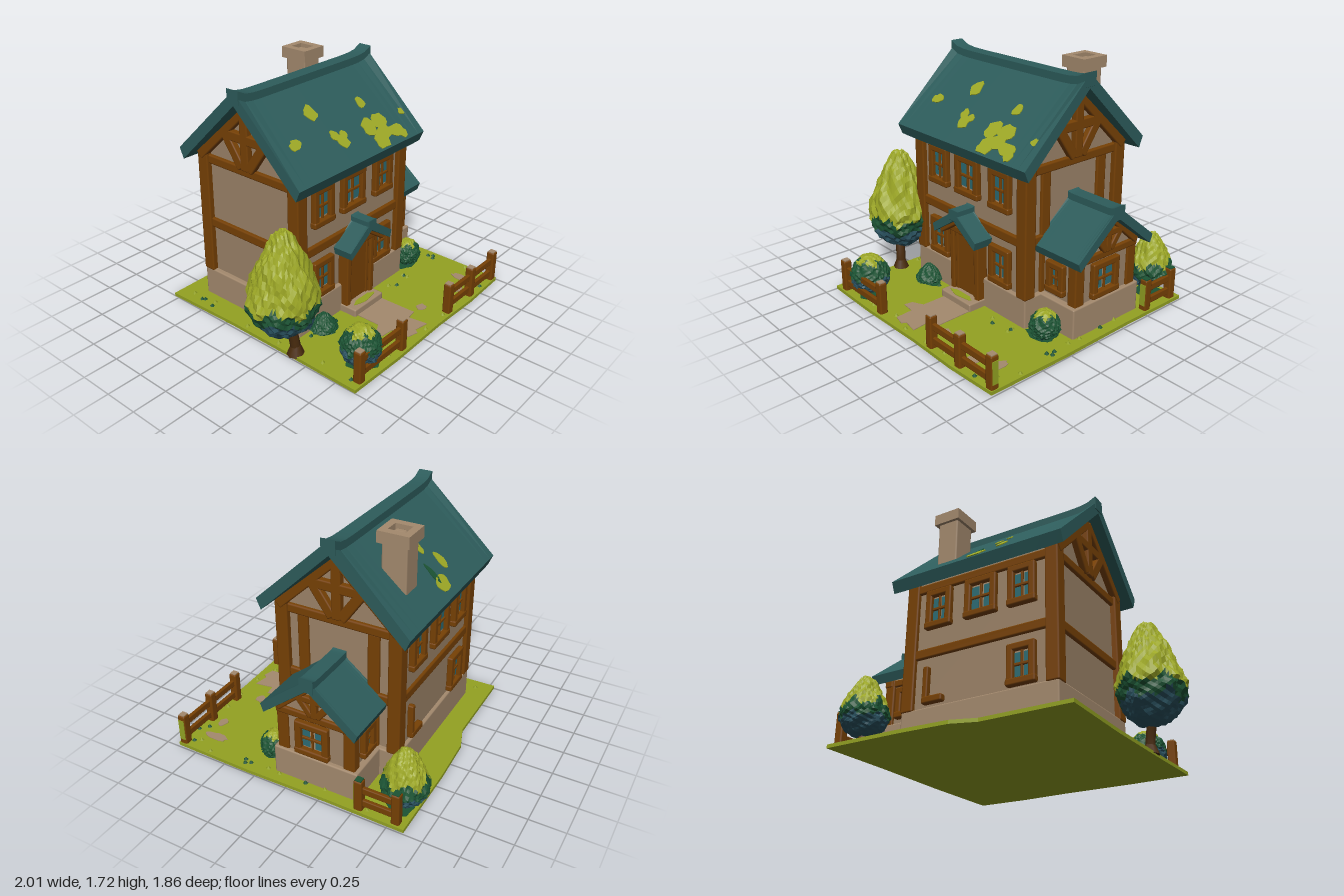
import * as THREE from 'three';
import { RoundedBoxGeometry } from 'three/addons/geometries/RoundedBoxGeometry.js';

const mat = (name, color) => Object.assign(new THREE.MeshStandardMaterial({ color }), { name });
const M = {
  grass: mat('grass', 0x93a222), lime: mat('lime leaf', 0x9da826), forest: mat('dark leaf', 0x1c5434),
  deep: mat('shaded leaf', 0x2a5260), roof: mat('roof teal', 0x2d5c5b), timber: mat('timber', 0x774104),
  plaster: mat('plaster', 0x9c8368), stone: mat('stone', 0xa48a6e), glass: mat('glass', 0x2c6c74), bark: mat('bark', 0x4a2c0e),
};
let seed = 7;
const rnd = () => (seed = (seed * 16807) % 2147483647) / 2147483647;

function add(parent, name, geo, material, x = 0, y = 0, z = 0) {
  const m = new THREE.Mesh(geo, material);
  m.name = name;
  m.position.set(x, y, z);
  parent.add(m);
  return m;
}
function group(parent, name, x = 0, y = 0, z = 0, ry = 0) {
  const g = new THREE.Group();
  g.name = name;
  g.position.set(x, y, z);
  g.rotation.y = ry;
  parent.add(g);
  return g;
}
// softened box given by its min and max on each axis
function block(parent, name, material, x0, x1, y0, y1, z0, z1) {
  const w = x1 - x0, h = y1 - y0, d = z1 - z0;
  const geo = new RoundedBoxGeometry(w, h, d, 1, Math.min(0.012, Math.min(w, h, d) / 4));
  return add(parent, name, geo, material, (x0 + x1) / 2, (y0 + y1) / 2, (z0 + z1) / 2);
}
// timber between two points in the local XY plane
function beam(parent, ax, ay, bx, by, width, depth = 0.05) {
  const geo = new RoundedBoxGeometry(Math.hypot(bx - ax, by - ay), width, depth, 1, 0.01);
  add(parent, 'gableTimber', geo, M.timber, (ax + bx) / 2, (ay + by) / 2, 0).rotation.z = Math.atan2(by - ay, bx - ax);
}
const polygon = pts => new THREE.Shape(pts.map(p => new THREE.Vector2(...p)));
const extrude = (shape, depth, steps = 1) => new THREE.ExtrudeGeometry(shape, { depth, steps, bevelEnabled: false, curveSegments: 6 });

// pitched roof along local z; only the ridge ends flick upward, the eaves stay straight
function roof(parent, half, eave, apex, thick, length, curl, cap) {
  const geo = extrude(polygon([[-half, eave], [-half * 0.94, eave - thick * 0.8], [0, apex - thick], [half * 0.94, eave - thick * 0.8], [half, eave], [0, apex]]), length, 20);
  geo.translate(0, 0, -length / 2);
  const ridge = new THREE.BoxGeometry(cap, cap * 0.95, length + 0.01, 1, 1, 20).translate(0, apex - cap * 0.38, 0);
  for (const [name, g] of [['roofSlopes', geo], ['ridgeCap', ridge]]) {
    const p = g.attributes.position;
    for (let i = 0; i < p.count; i++) {
      const rise = 1 - Math.abs(p.getX(i)) / half;
      p.setY(i, p.getY(i) + curl * rise * Math.pow(Math.abs(p.getZ(i) / length * 2), 12));
    }
    g.computeVertexNormals();
    add(parent, name, g, M.roof);
  }
}
// timber framing inside a gable triangle
function gable(parent, half, h, t) {
  beam(parent, -half, 0, 0, h, t);
  beam(parent, half, 0, 0, h, t);
  beam(parent, 0, 0, 0, h, t);
  beam(parent, -half * 0.5, h * 0.53, half * 0.5, h * 0.53, t);
  for (const s of [-1, 1]) beam(parent, s * half * 0.07, 0.01, s * half * 0.42, h * 0.55, t);
}
// framed window facing local +z; pale backing with four panes and timber bars
function windowUnit(parent, x, y, w, h) {
  const g = group(parent, 'window', x, y, 0), a = w / 2, b = h / 2, t = 0.048;
  block(g, 'windowFrame', M.timber, -a, -a + t, -b, b, 0, 0.045);
  block(g, 'windowFrame', M.timber, a - t, a, -b, b, 0, 0.045);
  block(g, 'windowFrame', M.timber, -a, a, b - t, b, 0, 0.045);
  block(g, 'windowSill', M.timber, -a - 0.004, a + 0.004, -b, -b + t, 0, 0.05);
  add(g, 'windowBacking', new THREE.BoxGeometry(w - t, h - t, 0.008), M.stone, 0, 0, 0.008);
  const pw = (a - t) * 0.74, ph = (b - t) * 0.76;
  for (const s of [-1, 1])
    for (const v of [-1, 1]) add(g, 'pane', new THREE.BoxGeometry(pw, ph, 0.004), M.glass, s * (a - t - pw / 2), v * (ph / 2 + 0.01), 0.014);
  block(g, 'windowBar', M.timber, -0.007, 0.007, -b + t, b - t, 0.008, 0.026);
  block(g, 'windowBar', M.timber, -a + t, a - t, -0.01, 0.01, 0.008, 0.028);
}
// uneven flat patch outline
function blob(rx, ry, n = 14) {
  return new THREE.Shape(Array.from({ length: n }, (_, i) => {
    const a = i / n * Math.PI * 2, k = 0.8 + rnd() * 0.35;
    return new THREE.Vector2(Math.cos(a) * rx * k, Math.sin(a) * ry * k);
  }));
}
// lumpy crown, coloured in bands by height
function crown(parent, name, x, z, r, yMid, yTop, yLow, taper, limeAt, forestAt) {
  const src = new THREE.IcosahedronGeometry(1, 10).attributes.position;
  const buckets = [[], [], []], v = new THREE.Vector3(), q = r * 45;
  for (let f = 0; f < src.count; f += 3) {
    const pts = [];
    let cy = 0, ang = 0;
    for (let k = 0; k < 3; k++) {
      v.fromBufferAttribute(src, f + k);
      const lump = 1 + 0.035 * Math.sin(v.x * 9 + v.y * 7 + q) + 0.03 * Math.sin(v.z * 11 - v.y * 8) + 0.03 * Math.sin(v.x * 19 + v.z * 17 + v.y * 23) + 0.02 * Math.sin(v.y * 31 - v.x * 13 + v.z * 9);
      const R = r * lump * (v.y > 0 ? 1 - taper * v.y : 1);
      pts.push(v.x * R, yMid + v.y * (v.y > 0 ? yTop - yMid : yMid - yLow) * (0.5 + lump / 2), v.z * R);
      cy += v.y / 3;
      ang = Math.atan2(v.z, v.x);
    }
    const edge = cy + 0.1 * Math.sin(ang * 5 + q) + 0.06 * Math.sin(ang * 11);
    buckets[edge > limeAt ? 0 : edge > forestAt ? 1 : 2].push(...pts);
  }
  const geo = new THREE.BufferGeometry();
  geo.setAttribute('position', new THREE.Float32BufferAttribute(buckets.flat(), 3));
  let start = 0;
  buckets.forEach((b, i) => { geo.addGroup(start, b.length / 3, i); start += b.length / 3; });
  geo.computeVertexNormals();
  add(parent, name, geo, [M.lime, M.forest, M.deep], x, 0, z);
}
function trunk(parent, x, z, r, y1, lean) {
  const path = new THREE.CatmullRomCurve3([[0, 0], [0.1, 0.3], [0.6, 0.7], [1, 1]].map(([l, t]) => new THREE.Vector3(x + lean * l, 0.02 + t * y1, z - Math.abs(lean) * l * 0.6)));
  add(parent, 'trunk', new THREE.TubeGeometry(path, 8, r, 8), M.bark);
  add(parent, 'trunkFoot', new THREE.CylinderGeometry(r, r * 1.8, 0.07, 8), M.bark, x, 0.06, z);
}
// fence along local x
function fence(parent, posts, topMat) {
  for (const p of posts) {
    block(parent, 'fencePost', M.timber, p - 0.03, p + 0.03, 0.02, 0.265, -0.03, 0.03);
    add(parent, 'postTop', new THREE.BoxGeometry(0.045, 0.008, 0.045), topMat, p, 0.266, 0);
  }
  for (const y of [0.09, 0.19]) block(parent, 'fenceRail', M.timber, posts[0], posts.at(-1), y - 0.025, y + 0.025, -0.014, 0.014);
}

export function createModel() {
  const root = new THREE.Group();
  root.name = 'cottage';

  // ground, path and loose patches
  const lay = geo => geo.rotateX(-Math.PI / 2), top = 0.035;
  const ground = polygon([[-0.75, -0.91], [-0.3, -0.92], [0.2, -0.91], [0.6, -0.92], [0.985, -0.905], [0.995, -0.3], [0.985, 0.3], [0.99, 0.865], [0.4, 0.865], [0.05, 0.85], [-0.12, 0.79], [-0.75, 0.79], [-0.735, 0.2], [-0.74, -0.4]]);
  add(root, 'lawn', lay(extrude(ground, top - 0.01)), M.grass, 0, 0.01, 0);
  const path = polygon([[-0.1, -0.3], [-0.1, -0.6], [-0.18, -0.64], [-0.19, -0.7], [-0.09, -0.71], [-0.08, -0.84], [0.0, -0.86], [0.02, -0.83], [0.13, -0.85], [0.11, -0.71], [0.19, -0.7], [0.18, -0.3]]);
  add(root, 'path', lay(extrude(path, 0.005)), M.stone, 0, top, 0);
  for (const [x, z, a, b] of [[0.28, 0.7, 0.04, 0.035], [0.81, 0.71, 0.035, 0.09], [0.65, 0.77, 0.045, 0.03]])
    add(root, 'pavingPatch', lay(extrude(blob(a, b), 0.004)), M.stone, x, top, z);
  for (const [x, z, a, b] of [[-0.36, 0.35, 0.12, 0.05], [0.72, 0.25, 0.11, 0.07], [0.8, -0.75, 0.1, 0.09], [-0.5, 0.76, 0.11, 0.11]])
    add(root, 'darkGrass', lay(extrude(blob(a, b), 0.004)), M.forest, x, top, z);
  for (let i = 0; i < 44; i++) {
    const side = i % 4, t = rnd(), j = rnd() * 0.07;
    const [x, z] = side === 0 ? [-0.72 + t * 1.65, 0.89 - j] : side === 1 ? [-0.71 + j, -0.75 + t * 1.5] : side === 2 ? [0.96 - j, -0.6 + t * 1.4] : [-0.6 + t * 1.3, 0.33 + j];
    if (side === 3 && Math.abs(x - 0.03) < 0.2) continue;
    add(root, 'grassTuft', new THREE.ConeGeometry(0.018, 0.022, 5), i % 3 ? M.grass : M.forest, x, top + 0.01, z);
  }

  // stone footing
  block(root, 'footing', M.stone, -0.57, 0.6, 0.02, 0.25, -0.63, 0.285);
  block(root, 'wingFooting', M.stone, 0.5, 0.905, 0.02, 0.25, -0.49, 0.14);

  // main walls and wing walls, pentagons running along x
  const cz = -0.175;
  const house = group(root, 'house', 0.015, 0, cz, Math.PI / 2);
  add(house, 'walls', extrude(polygon([[-0.43, 0.2], [0.43, 0.2], [0.43, 1.17], [0, 1.6], [-0.43, 1.17]]), 1.1), M.plaster, 0, 0, -0.55);
  roof(house, 0.55, 1.19, 1.67, 0.1, 1.33, 0.045, 0.1);
  const wing = group(root, 'wing', 0.765, 0, cz, Math.PI / 2);
  add(wing, 'wingWalls', extrude(polygon([[-0.27, 0.2], [0.27, 0.2], [0.27, 0.58], [0, 0.83], [-0.27, 0.58]]), 0.35), M.plaster, 0, 0, -0.24);
  roof(wing, 0.355, 0.615, 0.89, 0.075, 0.41, 0.012, 0.1);

  // timber frame of the main house
  for (const [x0, x1] of [[-0.575, -0.48], [0.51, 0.605]])
    for (const [z0, z1] of [[0.195, 0.29], [-0.635, -0.54]]) block(root, 'cornerPost', M.timber, x0, x1, 0.24, 1.17, z0, z1);
  for (const [y0, y1] of [[0.6, 0.67], [1.09, 1.155]]) {
    for (const [z0, z1] of [[0.22, 0.28], [-0.625, -0.56]]) block(root, 'longBeam', M.timber, -0.55, 0.58, y0, y1, z0, z1);
    for (const [x0, x1] of [[-0.56, -0.5], [0.53, 0.59]]) block(root, 'crossBeam', M.timber, x0, x1, y0, y1, -0.6, 0.25);
  }
  for (const [z0, z1] of [[0.05, 0.13], [-0.47, -0.385]]) block(root, 'sideStud', M.timber, 0.54, 0.585, 0.24, 1.1, z0, z1);
  for (const [x, s] of [[0.585, 1], [-0.555, -1]]) gable(group(root, 'gableFrame', x, 1.14, cz, s * Math.PI / 2), 0.44, 0.42, 0.07);

  // timber frame of the wing
  for (const [z0, z1] of [[0.03, 0.115], [-0.465, -0.38]]) block(root, 'wingPost', M.timber, 0.815, 0.89, 0.24, 0.585, z0, z1);
  block(root, 'wingBeam', M.timber, 0.83, 0.895, 0.53, 0.585, -0.47, 0.12);
  for (const [z0, z1] of [[0.07, 0.11], [-0.46, -0.42]]) block(root, 'wingEaveBeam', M.timber, 0.56, 0.88, 0.53, 0.58, z0, z1);
  gable(group(root, 'wingGableFrame', 0.88, 0.57, cz, Math.PI / 2), 0.28, 0.25, 0.048);

  // windows
  const front = group(root, 'frontWindows', 0, 0, 0.25), back = group(root, 'backWindows', 0, 0, -0.6, Math.PI);
  for (const [g, s] of [[front, 1], [back, -1]]) {
    for (const [x, w] of [[-0.31, 0.205], [0.003, 0.245], [0.337, 0.205]]) windowUnit(g, x * s, 0.945, w, 0.285);
    windowUnit(g, -0.31 * s, 0.4, 0.205, 0.28);
  }
  windowUnit(front, 0.337, 0.4, 0.205, 0.28);
  block(back, 'brokenFrame', M.timber, -0.43, -0.39, 0.28, 0.53, 0, 0.045);
  block(back, 'brokenFrame', M.timber, -0.43, -0.27, 0.27, 0.32, 0, 0.05);
  windowUnit(group(root, 'wingFrontWindow', 0.707, 0.4, 0.09), 0, 0, 0.16, 0.225);
  windowUnit(group(root, 'wingBackWindow', 0.707, 0.4, -0.44, Math.PI), 0, 0, 0.16, 0.225);
  windowUnit(group(root, 'wingSideWindow', 0.87, 0.393, -0.155, Math.PI / 2), 0, 0, 0.25, 0.255);

  // door and porch
  const porch = group(root, 'porch', 0.03, 0, 0.35);
  block(porch, 'doorStep', M.stone, -0.16, 0.16, 0.02, 0.09, -0.1, 0.07);
  add(porch, 'stepMoss', lay(extrude(blob(0.11, 0.03), 0.006)), M.grass, 0, 0.088, 0.02);
  for (const s of [-1, 1]) block(porch, 'doorPost', M.timber, s * 0.13 - 0.022, s * 0.13 + 0.022, 0.05, 0.57, -0.1, -0.01);
  block(porch, 'door', M.timber, -0.112, 0.112, 0.085, 0.54, -0.1, -0.035);
  for (const x of [-0.095, 0.095]) block(porch, 'doorStile', M.timber, x - 0.014, x + 0.014, 0.085, 0.53, -0.05, -0.028);
  block(porch, 'doorLintel', M.timber, -0.15, 0.15, 0.535, 0.585, -0.1, 0.0);
  add(porch, 'porchGable', extrude(polygon([[-0.16, 0.56], [0.16, 0.56], [0, 0.68]]), 0.08), M.timber, 0, 0, -0.09);
  for (const s of [-1, 1]) beam(porch, s * 0.17, 0.545, 0, 0.66, 0.04, 0.12);
  roof(porch, 0.23, 0.58, 0.735, 0.07, 0.15, 0.005, 0.08);

  // chimney with an open top
  const chimney = group(root, 'chimney', 0.342, 0, -0.477);
  block(chimney, 'chimneyShaft', M.stone, -0.08, 0.08, 1.15, 1.67, -0.088, 0.088);
  const cap = polygon([[-0.102, -0.11], [0.102, -0.11], [0.102, 0.11], [-0.102, 0.11]]);
  cap.holes.push(polygon([[-0.05, -0.06], [-0.05, 0.06], [0.05, 0.06], [0.05, -0.06]]));
  add(chimney, 'chimneyCap', lay(extrude(cap, 0.08)), M.stone, 0, 1.65, 0);
  block(chimney, 'flue', M.stone, -0.025, 0.025, 1.6, 1.715, -0.04, 0.04);

  // moss on both roof slopes: x, height, half sizes
  const moss = (x, y, a, b, s, m = M.lime) => {
    const g = group(root, 'moss', x, y, cz + s * (1.67 - y) * 0.55 / 0.48, s > 0 ? 0 : Math.PI);
    add(g, 'mossPatch', extrude(blob(a, b), 0.006), m).rotation.x = -Math.atan2(0.55, 0.48);
  };
  for (const p of [[-0.45, 1.375, 0.05, 0.04], [-0.17, 1.485, 0.055, 0.06], [-0.105, 1.345, 0.035, 0.045], [-0.07, 1.305, 0.05, 0.055], [-0.03, 1.335, 0.03, 0.03], [0.3, 1.44, 0.035, 0.045],
    [0.22, 1.32, 0.06, 0.07], [0.34, 1.325, 0.07, 0.065], [0.25, 1.24, 0.065, 0.07], [0.33, 1.27, 0.07, 0.05], [0.43, 1.255, 0.075, 0.05], [0.48, 1.235, 0.035, 0.05], [0.6, 1.325, 0.025, 0.03]]) moss(...p, 1);
  for (const p of [[-0.11, 1.34, 0.035, 0.08], [0.04, 1.265, 0.065, 0.06], [-0.01, 1.44, 0.03, 0.05], [-0.06, 1.5, 0.025, 0.03]]) moss(...p, -1);
  moss(0.06, 1.32, 0.022, 0.085, -1, M.forest);

  // fences, with mossy faces on the outer posts
  fence(group(root, 'frontLeftFence', 0, 0, 0.87), [-0.66, -0.21], M.stone);
  fence(group(root, 'frontRightFence', 0, 0, 0.87), [0.36, 0.65, 0.95], M.stone);
  fence(group(root, 'sideFence', 0.945, 0, 0, Math.PI / 2), [0.53, 0.795], M.forest);
  add(root, 'postMoss', new THREE.BoxGeometry(0.006, 0.16, 0.045), M.grass, 0.98, 0.15, 0.87);
  add(root, 'postMoss', new THREE.BoxGeometry(0.045, 0.16, 0.006), M.grass, 0.945, 0.15, -0.5);

  // trees and bushes
  trunk(root, -0.7, 0.37, 0.035, 0.35, -0.06);
  crown(root, 'largeTree', -0.75, 0.315, 0.242, 0.48, 0.96, 0.2, 0.5, -0.08, -0.42);
  trunk(root, 0.78, -0.77, 0.025, 0.15, 0.01);
  crown(root, 'backTree', 0.78, -0.77, 0.16, 0.22, 0.49, 0.07, 0.4, 0.22, -0.2);
  trunk(root, -0.51, 0.765, 0.02, 0.1, 0);
  crown(root, 'frontBush', -0.51, 0.765, 0.14, 0.18, 0.33, 0.045, 0.15, 0.72, -0.05);
  crown(root, 'wingBush', 0.745, 0.24, 0.105, 0.11, 0.23, 0.02, 0.1, 0.75, -0.7);
  crown(root, 'wallBush', -0.38, 0.34, 0.1, 0.06, 0.17, 0.02, 0.5, 1.5, -0.9);
  return root;
}
